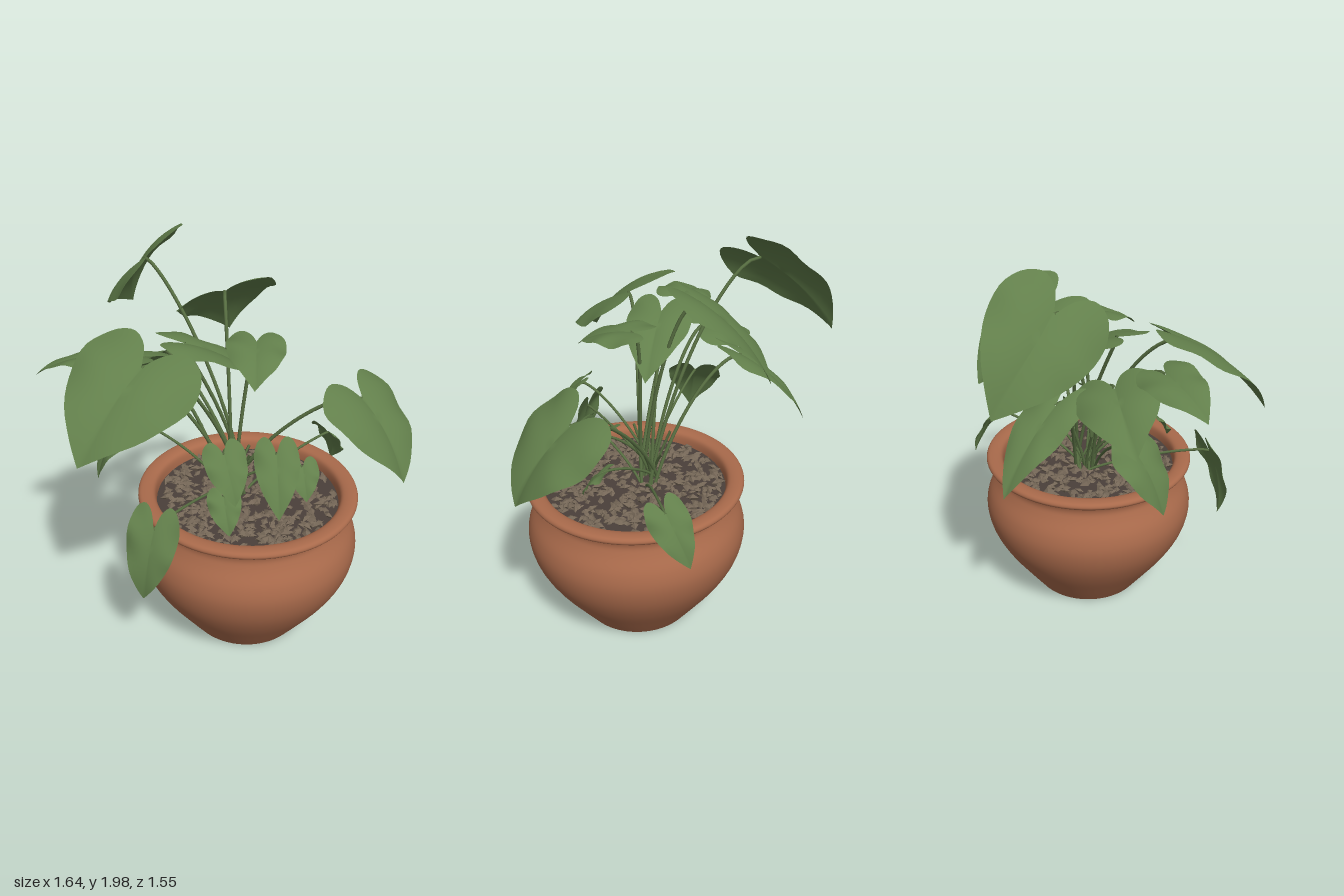
import * as THREE from 'three';
import { mergeGeometries } from 'three/addons/utils/BufferGeometryUtils.js';

const POT_X = 0.105, POT_Z = 0.22;

function flat(name, color, options) {
  const material = new THREE.MeshStandardMaterial({ color, ...options });
  material.name = name;
  return material;
}
const terracotta = flat('terracotta', 0xa96a4b);
const leafGreen = flat('leafGreen', 0x627f4b, { side: THREE.DoubleSide });
const stemGreen = flat('stemGreen', 0x586f42);
const soilBrown = flat('soilBrown', 0x4a403a);
const chipBrown = flat('chipBrown', 0x756757, { flatShading: true });

function seeded(seed) {
  return () => (seed = (seed * 16807) % 2147483647) / 2147483647;
}

function add(parent, geometry, material, name) {
  const mesh = new THREE.Mesh(geometry, material);
  mesh.name = name;
  parent.add(mesh);
}

// Heart outline: x in half widths, y in leaf lengths, from notch round to notch
const half = new THREE.SplineCurve([
  [0, 0], [0.2, -0.2], [0.5, -0.29], [0.82, -0.2], [0.99, 0.02],
  [0.93, 0.3], [0.68, 0.58], [0.32, 0.82], [0, 1],
].map(([x, y]) => new THREE.Vector2(x, y))).getPoints(26);
const OUTLINE = [
  ...half,
  ...half.slice(1, -1).reverse().map((p) => new THREE.Vector2(-p.x, p.y)),
];

// Heart-shaped blade with a creased midrib, a gentle arch and a wavy rim
function leafGeometry(base, tip, roll, halfWidth, wave) {
  const along = tip.clone().sub(base);
  const length = along.length();
  const dir = along.clone().normalize();
  const side = dir.clone().cross(new THREE.Vector3(0, 1, 0)).normalize().applyAxisAngle(dir, -roll);
  const up = side.clone().cross(dir);
  const rings = 7, n = OUTLINE.length, pos = [], index = [];
  const put = (x, y) => {
    const lift = halfWidth * (0.32 * Math.abs(x) - 0.42 * x * x)
      + length * 0.3 * y * (1 - y)
      + 0.012 * x * x * Math.sin(y * 11 + x * 2 + wave);
    const p = base.clone().addScaledVector(along, y)
      .addScaledVector(side, x * halfWidth).addScaledVector(up, lift);
    pos.push(p.x, p.y, p.z);
  };
  put(0, 0.25);
  for (let r = 1; r <= rings; r++) {
    const k = r / rings;
    for (const p of OUTLINE) put(p.x * k, 0.25 + (p.y - 0.25) * k);
  }
  for (let i = 0; i < n; i++) {
    const j = (i + 1) % n;
    index.push(0, 1 + i, 1 + j);
    for (let r = 0; r < rings - 1; r++) {
      const a = 1 + r * n + i, b = 1 + r * n + j;
      index.push(a, a + n, b + n, a, b + n, b);
    }
  }
  const g = new THREE.BufferGeometry();
  g.setAttribute('position', new THREE.Float32BufferAttribute(pos, 3));
  g.setIndex(index);
  g.computeVertexNormals();
  return g;
}

// Each leaf: stem end xyz, tip xyz, roll about its length, half width
const LEAVES = [
  [-0.2, 1.83, -0.4, -0.17, 1.47, -0.77, 0.72, 0.26],
  [0.1, 1.72, -0.1, 0.26, 1.38, -0.42, 0.35, 0.25],
  [0.56, 1.34, 0.48, 0.67, 1, 0.73, 0.14, 0.27],
  [-0.43, 1.57, 0.25, -0.79, 1.25, 0.45, 0.33, 0.29],
  [-0.33, 1.43, -0.14, -0.63, 1.27, -0.38, -0.28, 0.2],
  [-0.13, 1.35, -0.32, -0.1, 1, -0.65, 0.14, 0.14],
  [-0.53, 1.52, -0.03, -0.83, 1.42, -0.15, -0.18, 0.14],
  [-0.48, 0.88, 0.5, -0.55, 0.51, 0.52, 0.75, 0.12],
  [0.63, 0.92, 0.07, 0.72, 0.68, -0.04, -0.55, 0.1],
  [-0.43, 1.12, -0.1, -0.59, 0.82, -0.08, -0.19, 0.14],
  [-0.14, 1.2, 0.5, -0.14, 1.01, 0.64, -0.15, 0.1],
  [-0.14, 0.97, 0.5, -0.15, 0.82, 0.6, -0.25, 0.08],
  [0.18, 1.06, 0.38, 0.12, 0.81, 0.56, -0.06, 0.11],
  [-0.17, 1.57, 0.08, 0.18, 1.35, 0.16, 0.05, 0.16],
  [0.13, 1.59, 0.22, 0.01, 1.48, 0.48, 0.05, 0.14],
  [0.33, 0.95, 0.37, 0.31, 0.81, 0.47, -0.1, 0.08],
];

function createPot() {
  const pot = new THREE.Group();
  pot.name = 'pot';
  const wall = new THREE.SplineCurve([
    [0.3, 0], [0.385, 0.12], [0.48, 0.26], [0.54, 0.38], [0.563, 0.49], [0.548, 0.58],
    [0.505, 0.66], [0.488, 0.705], [0.5, 0.745], [0.54, 0.762], [0.553, 0.78],
    [0.54, 0.798], [0.5, 0.8], [0.47, 0.785], [0.46, 0.74], [0.46, 0.68],
  ].map(([x, y]) => new THREE.Vector2(x, y)));
  add(pot, new THREE.LatheGeometry(wall.getPoints(70), 72), terracotta, 'potWall');
  add(pot, new THREE.CircleGeometry(0.3, 72).rotateX(Math.PI / 2), terracotta, 'potBase');
  add(pot, new THREE.CircleGeometry(0.47, 48).rotateX(-Math.PI / 2).translate(0, 0.735, 0), soilBrown, 'soil');

  // loose chips scattered over the soil
  const rand = seeded(71);
  const chips = [];
  for (let i = 0; i < 520; i++) {
    const r = 0.44 * Math.sqrt(rand()), a = rand() * Math.PI * 2;
    const chip = new THREE.OctahedronGeometry(0.016 + rand() * 0.012);
    chip.scale(1.4, 0.6, 0.8);
    chip.rotateZ(rand() - 0.5).rotateX(rand() - 0.5).rotateY(rand() * 6.28);
    chip.translate(Math.cos(a) * r, 0.738 + rand() * 0.012, Math.sin(a) * r);
    chips.push(chip);
  }
  add(pot, mergeGeometries(chips), chipBrown, 'soilChips');
  pot.position.set(POT_X, 0, POT_Z);
  return pot;
}

function createPlant() {
  const plant = new THREE.Group();
  plant.name = 'plant';
  LEAVES.forEach(([bx, by, bz, tx, ty, tz, roll, halfWidth], i) => {
    const base = new THREE.Vector3(bx, by, bz), tip = new THREE.Vector3(tx, ty, tz);
    add(plant, leafGeometry(base, tip, roll, halfWidth, i * 1.7), leafGreen, 'leaf' + (i + 1));

    // stem rises from the crown and bends over into the blade
    const angle = i * 2.4;
    const root = new THREE.Vector3(0.07 + 0.05 * Math.cos(angle), 0.73, 0.15 + 0.05 * Math.sin(angle));
    const rise = by - root.y;
    const c1 = root.clone().lerp(base, 0.2).setY(root.y + rise * 0.55);
    const c2 = base.clone().addScaledVector(tip.clone().sub(base), -0.25).lerp(root, 0.12).setY(by + 0.02);
    const path = new THREE.CubicBezierCurve3(root, c1, c2, base);
    add(plant, new THREE.TubeGeometry(path, 24, rise > 0.5 ? 0.009 : 0.007, 7), stemGreen, 'stem' + (i + 1));
  });

  // short young shoots at the crown
  for (let i = 0; i < 7; i++) {
    const a = i * 0.9 + 0.3;
    const root = new THREE.Vector3(0.06, 0.73, 0.14);
    const end = new THREE.Vector3(0.06 + 0.13 * Math.cos(a), 0.95 + 0.04 * (i % 3), 0.14 + 0.1 * Math.sin(a));
    const mid = root.clone().lerp(end, 0.3).setY(0.86);
    const path = new THREE.QuadraticBezierCurve3(root, mid, end);
    add(plant, new THREE.TubeGeometry(path, 10, 0.007, 6), stemGreen, 'shoot' + (i + 1));
  }
  return plant;
}

export function createModel() {
  const model = new THREE.Group();
  model.name = 'pottedPlant';
  model.add(createPot(), createPlant());
  return model;
}
